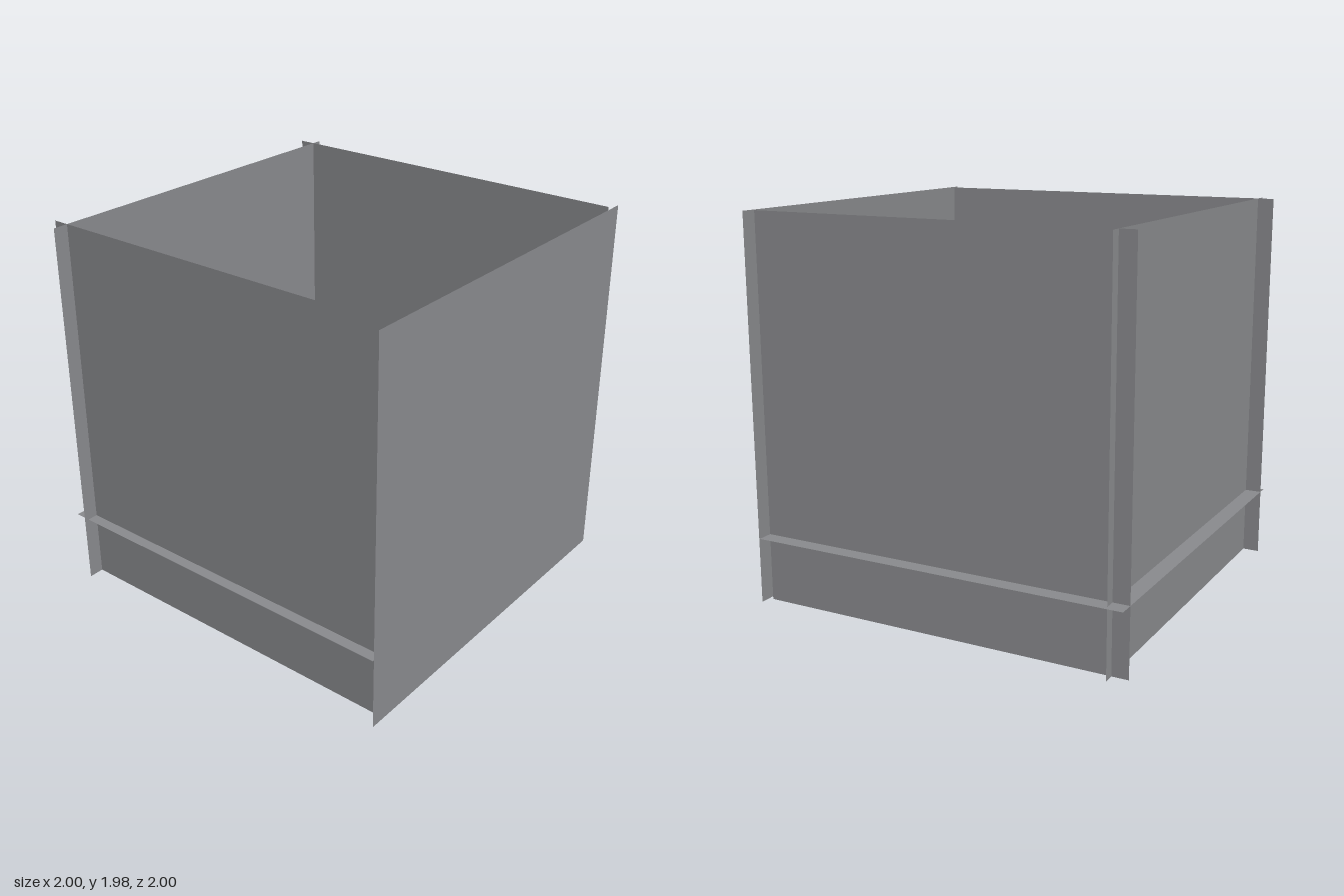
import * as THREE from 'three';

export function createModel() {
  const model = new THREE.Group();
  model.name = 'openBox';
  const grey = new THREE.MeshStandardMaterial({ color: 0x8a8b8e, side: THREE.DoubleSide });
  grey.name = 'grey';

  const size = 1.976;            // every panel is the same square sheet
  const mid = 1 - size / 2;      // sheets are shifted so that their edges overhang
  const sheet = new THREE.PlaneGeometry(size, size);

  function panel(name, position, rotation = [0, 0, 0]) {
    const mesh = new THREE.Mesh(sheet, grey);
    mesh.name = name;
    mesh.position.set(...position);
    mesh.rotation.set(...rotation);
    model.add(mesh);
  }

  // Four interlocking walls
  panel('frontWall', [-mid, size / 2, 0.92]);
  panel('backWall', [-mid, size / 2, -0.92], [0, Math.PI, 0]);
  panel('leftWall', [1, size / 2, mid], [0, Math.PI / 2, 0]);
  panel('rightWall', [-0.915, size / 2, mid], [0, -Math.PI / 2, 0]);

  // Raised floor
  const floorY = 0.35;
  panel('floor', [-mid, floorY, -mid], [-Math.PI / 2, 0, 0]);

  // Tiny block in the middle of the floor
  const block = new THREE.Mesh(new THREE.BoxGeometry(0.04, 0.04, 0.04), grey);
  block.name = 'centreBlock';
  block.position.set(-0.015, floorY + 0.02, -0.012);
  model.add(block);

  return model;
}
